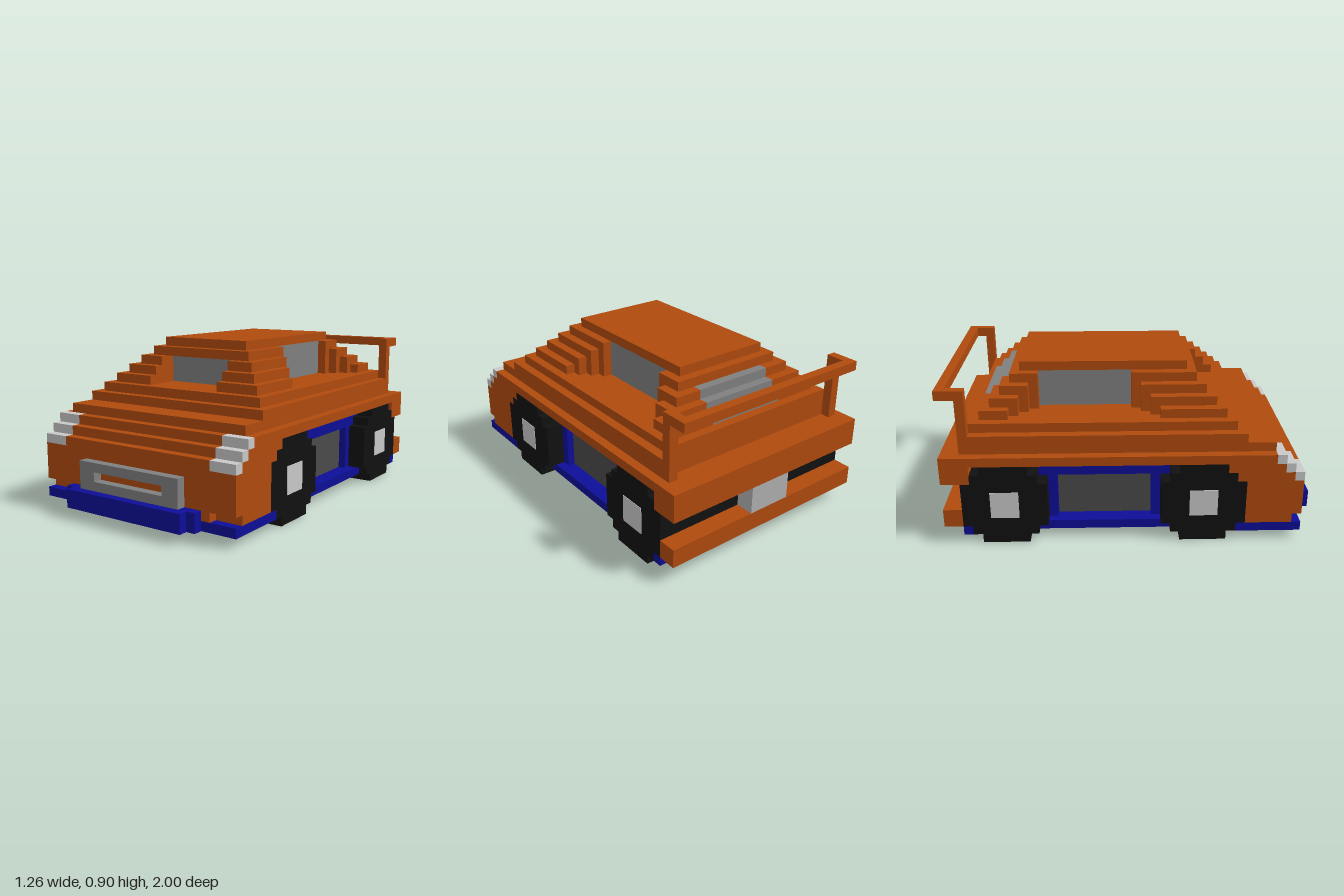
import * as THREE from 'three';

const mat = (name, color) => {
  const m = new THREE.MeshStandardMaterial({ color });
  m.name = name;
  return m;
};

export function createModel() {
  const car = new THREE.Group();
  car.name = 'blockCar';
  const orange = mat('orange paint', 0xb04a0e);
  const blue = mat('blue trim', 0x0e0e98);
  const black = mat('black rubber', 0x111111);
  const glass = mat('grey glass', 0x808080);
  const doorGlass = mat('dark door panel', 0x4a4a4a);
  const lamp = mat('light grey', 0xc9c9c9);
  const plate = mat('plate grey', 0xb0b0b0);

  // Box from its limits on each axis
  const box = (name, m, x0, x1, y0, y1, z0, z1) => {
    const mesh = new THREE.Mesh(new THREE.BoxGeometry(x1 - x0, y1 - y0, z1 - z0), m);
    mesh.position.set((x0 + x1) / 2, (y0 + y1) / 2, (z0 + z1) / 2);
    mesh.name = name;
    car.add(mesh);
  };
  // Box centred across the car
  const mid = (name, m, hw, y0, y1, z0, z1) => box(name, m, -hw, hw, y0, y1, z0, z1);
  // Mirrored pair of boxes
  const pair = (name, m, x0, x1, y0, y1, z0, z1) => {
    box(name + 'Left', m, x0, x1, y0, y1, z0, z1);
    box(name + 'Right', m, -x1, -x0, y0, y1, z0, z1);
  };

  // Floor, sills and front lip
  mid('floorFront', blue, 0.625, 0.05, 0.1, 0.55, 0.9);
  mid('floorMiddle', blue, 0.575, 0.05, 0.1, -0.85, 0.55);
  mid('floorRear', blue, 0.625, 0.05, 0.1, -0.9, -0.85);
  mid('frontLip', blue, 0.425, 0.05, 0.15, 0.9, 0.95);
  mid('frontLipTip', blue, 0.375, 0.05, 0.15, 0.95, 1);

  // Recessed sides with door panels
  mid('innerBody', blue, 0.475, 0.1, 0.45, -0.85, 0.6);
  pair('doorTop', blue, 0.475, 0.525, 0.35, 0.45, -0.7, 0.4);
  pair('doorPostFront', blue, 0.475, 0.525, 0.1, 0.35, 0.1, 0.3);
  pair('doorPostRear', blue, 0.475, 0.525, 0.1, 0.35, -0.6, -0.4);
  pair('doorPanel', doorGlass, 0.475, 0.485, 0.1, 0.35, -0.4, 0.1);

  // Nose
  mid('noseBottom', orange, 0.625, 0.1, 0.15, 0.6, 0.85);
  mid('noseBottomFront', orange, 0.475, 0.1, 0.15, 0.85, 0.9);
  mid('nose', orange, 0.625, 0.15, 0.35, 0.6, 0.9);
  // Stepped hood front with headlights at the corners
  const backs = [0.55, 0.5, -1];
  backs.forEach((zBack, i) => {
    const y = 0.35 + 0.05 * i, z = 0.9 - 0.05 * i;
    mid('hoodStep', orange, 0.625, y, y + 0.05, zBack, z - 0.05);
    mid('hoodStepFront', orange, 0.475, y, y + 0.05, z - 0.05, z);
    pair('headlight', lamp, 0.475, 0.625, y, y + 0.05, z - 0.05, z);
  });

  // Grille frame
  mid('grilleBottom', glass, 0.325, 0.15, 0.2, 0.9, 0.95);
  mid('grilleTop', glass, 0.325, 0.25, 0.3, 0.9, 0.95);
  pair('grilleSide', glass, 0.225, 0.325, 0.2, 0.25, 0.9, 0.95);

  // Upper body layers
  mid('shoulderLower', orange, 0.575, 0.5, 0.55, -0.85, 0.75);
  mid('shoulderUpper', orange, 0.575, 0.55, 0.6, -0.85, 0.6);
  mid('beltLine', orange, 0.525, 0.6, 0.65, -0.85, 0.55);

  // Tail: upper panel, dark strip, plate and bumper
  mid('tailPanel', orange, 0.625, 0.35, 0.45, -1, -0.9);
  mid('tailArch', orange, 0.625, 0.4, 0.45, -0.9, -0.85);
  pair('tailArchInner', orange, 0.475, 0.625, 0.35, 0.4, -0.9, -0.85);
  mid('tailStrip', black, 0.625, 0.1, 0.35, -0.9, -0.85);
  mid('rearPlate', plate, 0.125, 0.2, 0.35, -1, -0.9);
  mid('rearBumper', orange, 0.625, 0.1, 0.2, -1, -0.9);

  // Cabin glass and roof
  mid('cabinGlass', glass, 0.275, 0.65, 0.85, -0.6, 0.3);
  mid('roof', orange, 0.275, 0.85, 0.9, -0.6, 0.3);
  mid('windshieldHeader', orange, 0.325, 0.8, 0.85, 0, 0.35);
  mid('rearHeader', orange, 0.325, 0.8, 0.85, -0.65, -0.5);
  // Stepped pillars, each shell lower and further out
  for (let k = 0; k < 4; k++) {
    const d = 0.05 * k, top = 0.85 - d;
    pair('frontPillar', orange, 0.225, 0.325 + d, 0.65, top, d, 0.35 + d);
    pair('rearPillar', orange, 0.225, 0.325 + d, 0.65, top, -0.65 - d, -0.5 - d);
    if (k) mid('rearWindowStep', glass, 0.225, 0.65, top, -0.65 - d, -0.6 - d);
  }

  // Rear wing
  pair('wingPost', orange, 0.525, 0.575, 0.5, 0.8, -0.9, -0.85);
  pair('wingArm', orange, 0.525, 0.575, 0.8, 0.85, -1, -0.85);
  mid('wingBar', orange, 0.525, 0.8, 0.85, -1, -0.95);

  // Stepped wheels with square hubs: [y0, y1, half length]
  const rows = [[0, 0.05, 0.125], [0.05, 0.1, 0.175], [0.1, 0.35, 0.225], [0.35, 0.4, 0.175], [0.4, 0.45, 0.125]];
  for (const [name, z] of [['frontWheel', 0.375], ['rearWheel', -0.675]]) {
    for (const [y0, y1, h] of rows) pair(name, black, 0.275, 0.625, y0, y1, z - h, z + h);
    pair(name + 'Hub', lamp, 0.62, 0.628, 0.15, 0.3, z - 0.075, z + 0.075);
  }
  return car;
}
